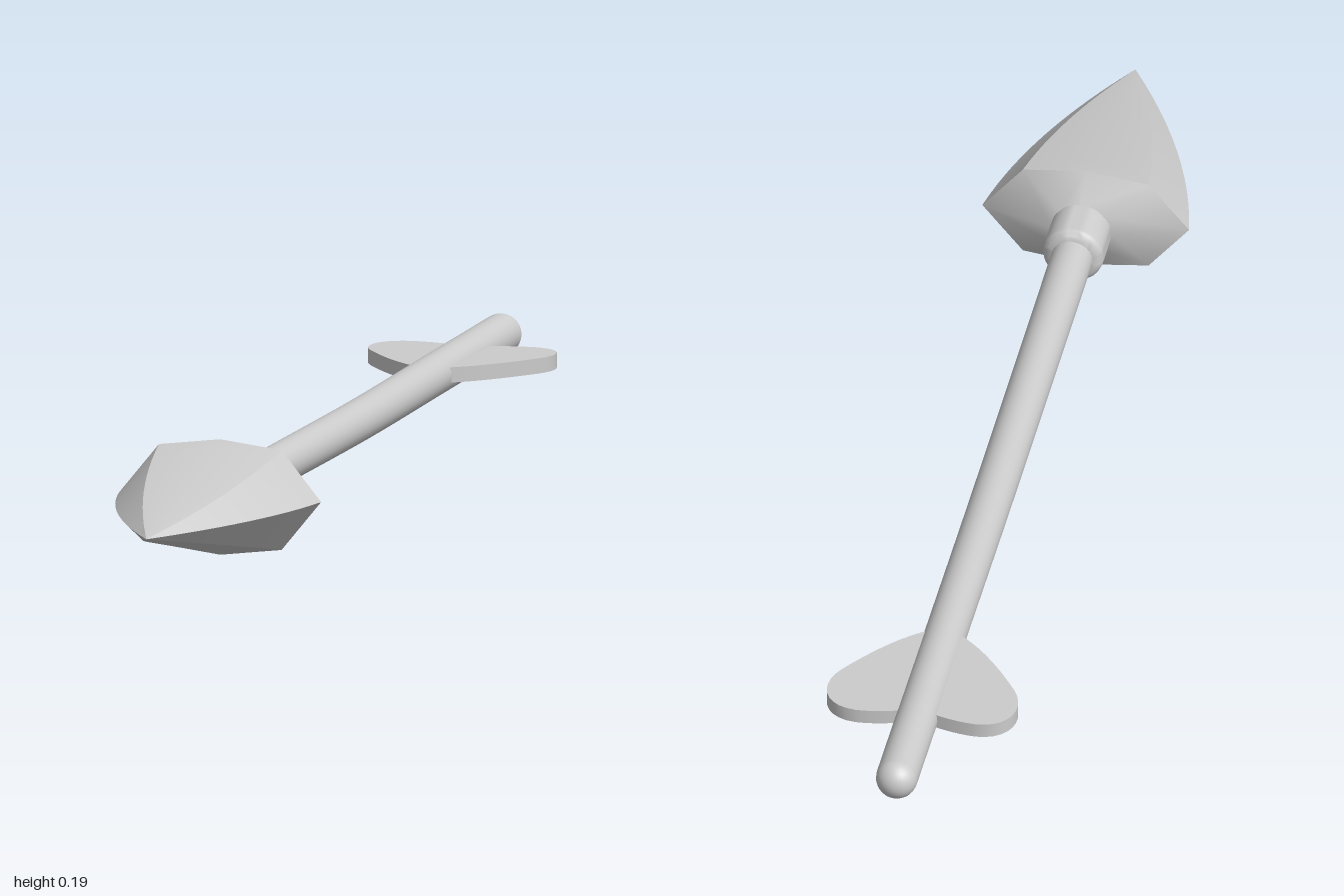
import * as THREE from 'three';
import { toCreasedNormals } from 'three/addons/utils/BufferGeometryUtils.js';

const material = new THREE.MeshStandardMaterial({ color: 0xcccccc, side: THREE.DoubleSide });

function part(name, geometry) {
  const mesh = new THREE.Mesh(geometry, material);
  mesh.name = name;
  return mesh;
}

// Skin a list of closed rings, each counter-clockwise seen from +z, ordered back to front
function loft(rings) {
  const n = rings[0].length;
  const index = [];
  for (let i = 0; i < rings.length - 1; i++) {
    for (let j = 0; j < n; j++) {
      const a = i * n + j, b = i * n + (j + 1) % n;
      index.push(a, b, b + n, a, b + n, a + n);
    }
  }
  const geometry = new THREE.BufferGeometry();
  geometry.setAttribute('position', new THREE.Float32BufferAttribute(rings.flat(2), 3));
  geometry.setIndex(index);
  return toCreasedNormals(geometry, 0.55);
}

// Faceted head: width bulges, height tapers straight to the point
function headGeometry() {
  const section = [[0.171, 0], [0.104, 0.082], [0, 0.095], [-0.104, 0.082],
    [-0.171, 0], [-0.104, -0.082], [0, -0.095], [104 / -1000 * -1, -0.082]];
  const backRing = section.map((p, j) => {
    const a = j * Math.PI / 4;
    return [0.05 * Math.cos(a), 0.097 + 0.05 * Math.sin(a), 0.552];
  });
  const rings = [backRing];
  const steps = 12;
  for (let i = 0; i <= steps; i++) {
    const t = i / steps;
    const width = Math.max(1 - 0.42 * t - 0.58 * t * t, 0.001);
    const height = Math.max(1 - t, 0.001);
    rings.push(section.map(([x, y]) => [x * width, 0.097 - 0.003 * t + y * height, 0.59 + 0.41 * t]));
  }
  return loft(rings);
}

// Fin outline in plan (x outward, second value is -z)
function finGeometry() {
  const s = new THREE.Shape();
  s.moveTo(0, 0.56);
  s.lineTo(0.03, 0.583);
  s.bezierCurveTo(0.07, 0.61, 0.11, 0.66, 0.143, 0.71);
  s.bezierCurveTo(0.172, 0.755, 0.155, 0.81, 0.1, 0.812);
  s.bezierCurveTo(0.075, 0.812, 0.05, 0.806, 0.03, 0.8);
  s.lineTo(0, 0.8);
  s.closePath();
  const g = new THREE.ExtrudeGeometry(s, { depth: 0.025, bevelEnabled: false, curveSegments: 10 });
  g.rotateX(-Math.PI / 2);
  return toCreasedNormals(g, 0.6);
}

export function createModel() {
  const model = new THREE.Group();
  model.name = 'arrow';

  model.add(part('arrowHead', headGeometry()));

  // Collar with softened rear lip
  const collarProfile = [[0.03, -0.002], [0.042, 0], [0.049, 0.007], [0.05, 0.014], [0.05, 0.09]]
    .map(([r, h]) => new THREE.Vector2(r, h));
  const collarGeometry = new THREE.LatheGeometry(collarProfile, 32);
  collarGeometry.rotateX(Math.PI / 2);
  const collar = part('collar', toCreasedNormals(collarGeometry, 0.7));
  collar.position.set(0, 0.098, 0.478);
  model.add(collar);

  // Shaft, lifting slightly toward the tail
  const radius = 0.034;
  const path = new THREE.CatmullRomCurve3([
    new THREE.Vector3(0, 0.098, 0.56),
    new THREE.Vector3(0, 0.098, 0.2),
    new THREE.Vector3(0, 0.099, -0.2),
    new THREE.Vector3(0, 0.106, -0.6),
    new THREE.Vector3(0, 0.112, -1 + radius),
  ]);
  model.add(part('shaft', new THREE.TubeGeometry(path, 40, radius, 24)));

  // Rounded tail end
  const tail = part('shaftEnd', new THREE.SphereGeometry(radius, 24, 16));
  tail.position.set(0, 0.112, -1 + radius);
  model.add(tail);

  // Pair of flat fins
  const fins = new THREE.Group();
  fins.name = 'fins';
  for (const side of [1, -1]) {
    const fin = part(side > 0 ? 'leftFin' : 'rightFin', finGeometry());
    fin.scale.x = side;
    fin.position.y = 0.096;
    fins.add(fin);
  }
  model.add(fins);

  return model;
}
